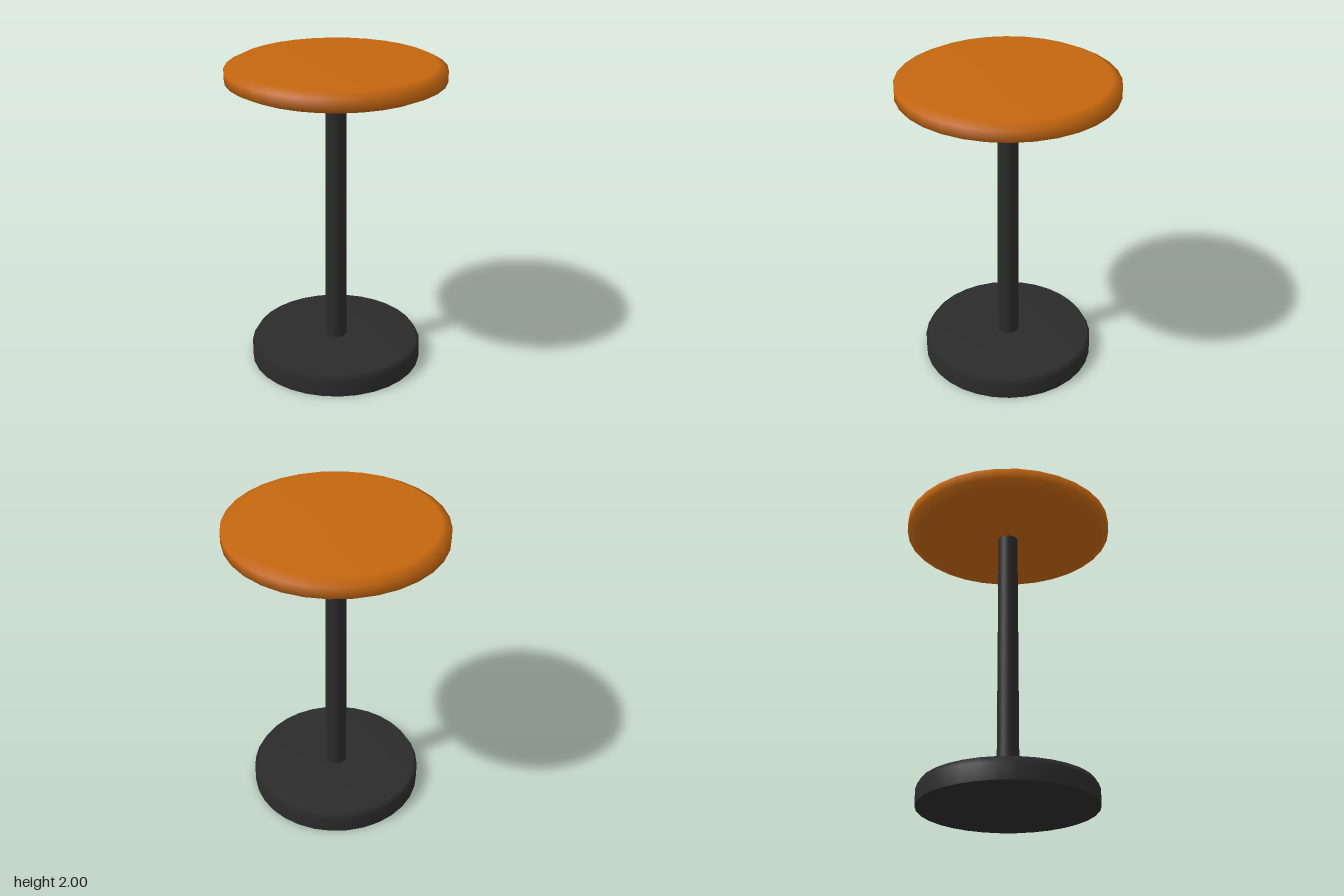
import * as THREE from 'three';

const SIDES = 32;

// Smooth turned part from [radius, height] pairs, listed bottom to top
function turned(name, profile, material) {
  const points = profile.map(([r, y]) => new THREE.Vector2(r, y));
  const mesh = new THREE.Mesh(new THREE.LatheGeometry(points, SIDES), material);
  mesh.name = name;
  return mesh;
}

export function createModel() {
  const group = new THREE.Group();
  group.name = 'roundStool';

  const orange = new THREE.MeshStandardMaterial({ color: 0xc4660f });
  const black = new THREE.MeshStandardMaterial({ color: 0x2b2b2b });

  // Cushion with bevelled upper and lower rims
  group.add(turned('seat', [
    [0, 1.865], [0.3, 1.865], [0.61, 1.87], [0.675, 1.9],
    [0.675, 1.97], [0.615, 2], [0, 2],
  ], orange));

  // Slightly tapered post, running from inside the base into the seat
  const post = new THREE.Mesh(
    new THREE.CylinderGeometry(0.064, 0.07, 1.78, SIDES), black);
  post.name = 'post';
  post.position.y = 1.0;
  group.add(post);

  // Heavy foot with a bevelled top edge
  group.add(turned('base', [
    [0.557, 0], [0.557, 0.105], [0.533, 0.145], [0, 0.145],
  ], black));

  // Flat underside, kept separate so the bottom edge stays sharp
  const underside = new THREE.Mesh(new THREE.CircleGeometry(0.557, SIDES), black);
  underside.name = 'baseUnderside';
  underside.rotation.x = Math.PI / 2;
  group.add(underside);

  return group;
}
